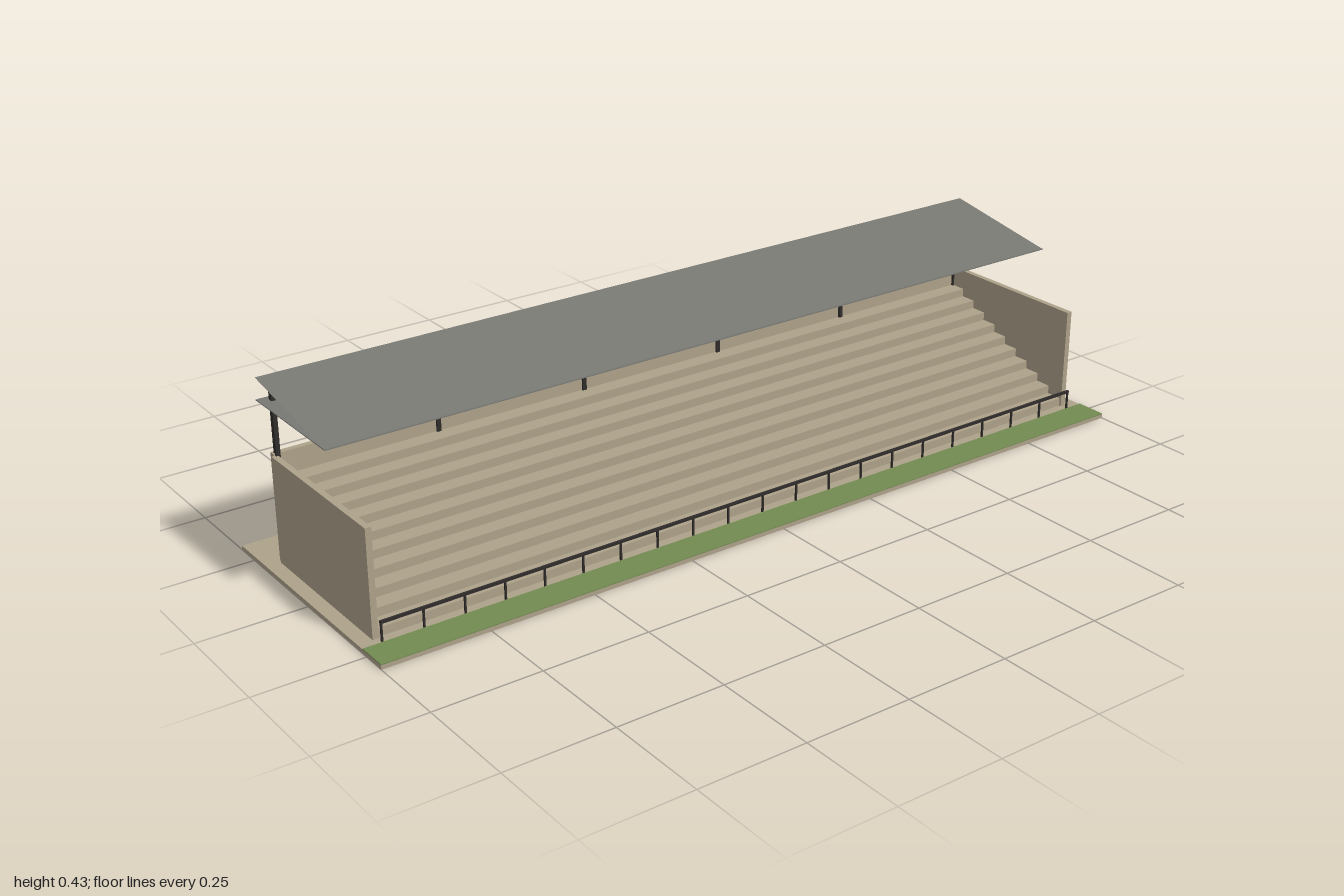
import * as THREE from 'three';

export function createModel() {
  const model = new THREE.Group();
  model.name = 'grandstand';

  const material = (name, color, side = THREE.FrontSide) => {
    const m = new THREE.MeshStandardMaterial({ color, side });
    m.name = name;
    return m;
  };
  const concrete = material('concrete', 0xada189);
  const grass = material('grass', 0x738b52);
  const steel = material('darkSteel', 0x2f2c2b);
  const roofing = material('roofSheet', 0x787873, THREE.DoubleSide);

  const add = (name, geometry, mat, parent = model) => {
    const mesh = new THREE.Mesh(geometry, mat);
    mesh.name = name;
    parent.add(mesh);
    return mesh;
  };

  // Box given by its lower and upper corners
  const box = (name, mat, [x0, y0, z0], [x1, y1, z1], parent) => {
    const geometry = new THREE.BoxGeometry(x1 - x0, y1 - y0, z1 - z0);
    geometry.translate((x0 + x1) / 2, (y0 + y1) / 2, (z0 + z1) / 2);
    return add(name, geometry, mat, parent);
  };

  const group = (name) => {
    const g = new THREE.Group();
    g.name = name;
    model.add(g);
    return g;
  };

  // Ground slab with a strip of turf along the front
  box('groundSlab', concrete, [-1, 0, -0.31], [1, 0.01, 0.31]);
  box('grassStrip', grass, [-1, 0.01, 0.235], [1, 0.012, 0.31]);

  // Back wall and the two end walls
  box('backWall', concrete, [-0.962, 0.01, -0.204], [0.962, 0.262, -0.19]);
  for (const side of [-1, 1]) {
    const x = side * 0.96;
    box(side > 0 ? 'leftWall' : 'rightWall', concrete,
      [x - 0.007, 0.01, -0.19], [x + 0.007, 0.258, 0.215]);
  }

  // Terrace: a stepped profile extruded along the length
  const steps = 10, tread = 0.04, rise = 0.02, frontZ = 0.21;
  const halfLength = 0.953;
  const profile = new THREE.Shape();
  profile.moveTo(-frontZ, 0.01);
  for (let i = 0; i < steps; i++) {
    const top = 0.03 + i * rise;
    profile.lineTo(-frontZ + i * tread, top);
    profile.lineTo(-frontZ + (i + 1) * tread, top);
  }
  profile.lineTo(-frontZ + steps * tread, 0.01);
  const terrace = new THREE.ExtrudeGeometry(profile, { depth: 2 * halfLength, bevelEnabled: false });
  terrace.translate(0, 0, -halfLength);
  terrace.rotateY(Math.PI / 2);
  add('terraceSteps', terrace, concrete);

  // Front railing
  const railing = group('railing');
  const railZ = 0.232;
  box('handrail', steel, [-0.957, 0.052, railZ - 0.003], [0.957, 0.058, railZ + 0.003], railing);
  const posts = 21;
  for (let i = 0; i < posts; i++) {
    const x = -0.955 + (i * 1.91) / (posts - 1);
    box('railPost', steel, [x - 0.002, 0.01, railZ - 0.002], [x + 0.002, 0.053, railZ + 0.002], railing);
  }

  // Roof columns standing on the back wall
  const columns = group('roofColumns');
  for (let i = 0; i < 6; i++) {
    const x = -0.953 + i * 0.3812;
    box('column', steel, [x - 0.005, 0.2, -0.197], [x + 0.005, 0.43, -0.185], columns);
  }

  // Wedge roof: a level soffit and a sloping sheet meeting at the front edge
  const roofFront = 0.093, roofBack = -0.208, roofLow = 0.382, roofHigh = 0.434;
  box('roofSoffit', roofing, [-0.98, roofLow - 0.001, -0.213], [0.98, roofLow + 0.001, roofFront]);
  const slope = Math.atan2(roofHigh - roofLow, roofFront - roofBack);
  const sheet = new THREE.PlaneGeometry(1.96, Math.hypot(roofHigh - roofLow, roofFront - roofBack));
  sheet.rotateX(-Math.PI / 2 + slope);
  sheet.translate(0, (roofLow + roofHigh) / 2, (roofFront + roofBack) / 2);
  add('roofSlope', sheet, roofing);

  return model;
}
